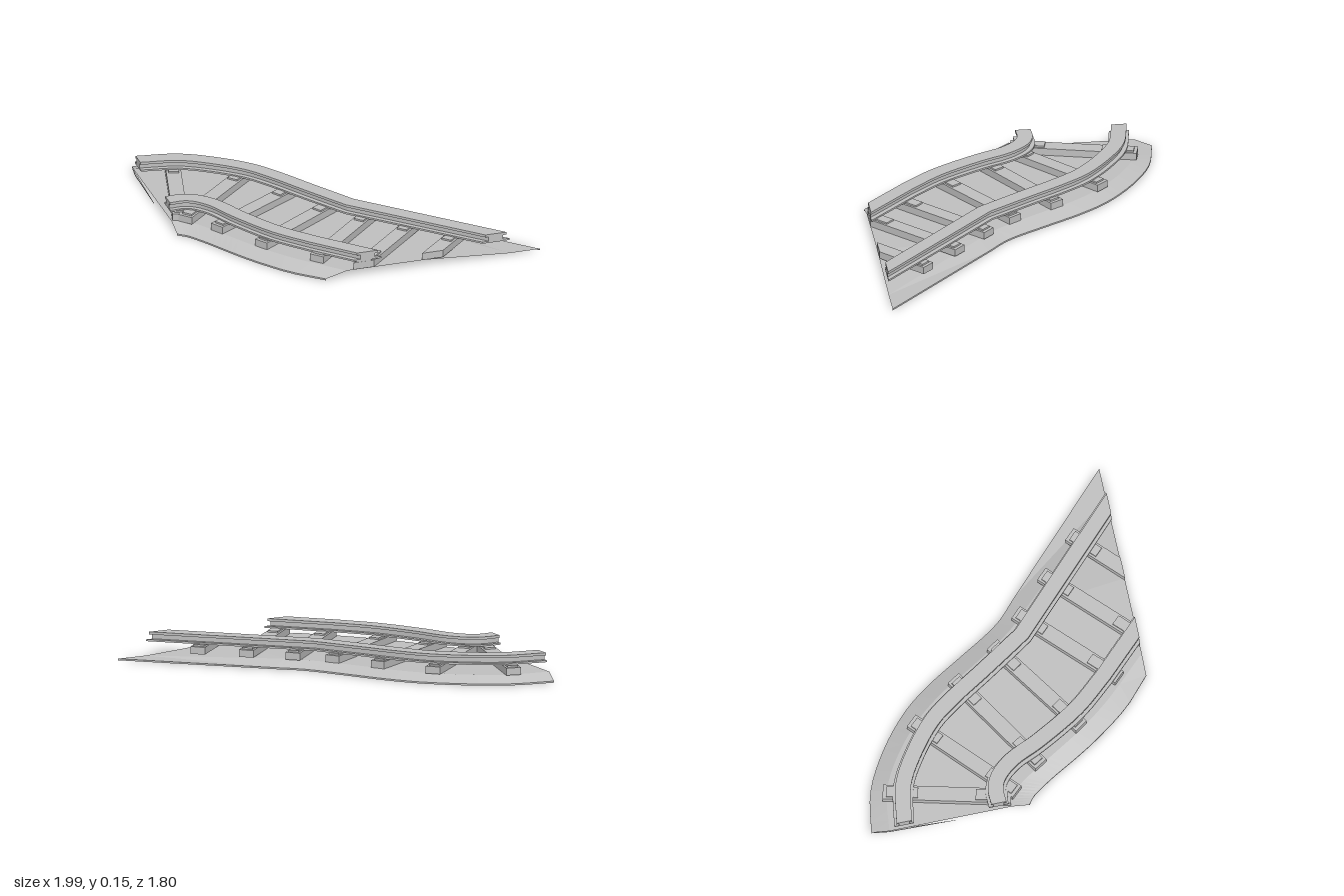
import * as THREE from 'three';

const CUT = 0.9; // front end of the track piece

// Smooth curve through the plan points [x, z], then one straight run to the last point
function trace(points, steps = 4) {
  const bend = points.slice(0, -1).map(([x, z]) => new THREE.Vector3(x, 0, z));
  const curve = new THREE.CatmullRomCurve3(bend);
  const n = (bend.length - 1) * steps;
  const out = [];
  for (let i = 0; i <= n; i++) {
    const p = curve.getPoint(i / n);
    out.push([p.x, p.z]);
  }
  out.push(points[points.length - 1]);
  return out;
}

// Surface through rows of [x, y, z] points; closed rings also get end caps
function loft(rows, closed) {
  const pos = [];
  const quad = (a, b, c, d) => pos.push(...a, ...d, ...b, ...b, ...d, ...c);
  const m = rows[0].length;
  for (let i = 0; i < rows.length - 1; i++) {
    for (let j = 0; j < (closed ? m : m - 1); j++) {
      const k = (j + 1) % m;
      quad(rows[i][j], rows[i][k], rows[i + 1][k], rows[i + 1][j]);
    }
  }
  if (closed) {
    const [a, b, c, d] = rows[0];
    quad(a, d, c, b);
    const [e, f, g, h] = rows[rows.length - 1];
    quad(e, f, g, h);
  }
  const geo = new THREE.BufferGeometry();
  geo.setAttribute('position', new THREE.Float32BufferAttribute(pos, 3));
  geo.computeVertexNormals();
  return geo;
}

// Rectangular bar swept along a plan path, cut square to the piece's two ends
function bar(path, half, y0, y1) {
  const last = path.length - 1;
  return loft(path.map(([x, z], i) => {
    const a = path[Math.max(i - 1, 0)], b = path[Math.min(i + 1, last)];
    const tx = b[0] - a[0], tz = b[1] - a[1], len = Math.hypot(tx, tz);
    let sx = tz / len * half, sz = -tx / len * half;
    if (i === 0) [sx, sz] = [0, -half];
    if (i === last) [sx, sz] = [half * Math.SQRT2, 0];
    return [[x - sx, y1, z - sz], [x + sx, y1, z + sz], [x + sx, y0, z + sz], [x - sx, y0, z - sz]];
  }), true);
}

// Upright prism over a plan polygon
function prism(points, y0, y1) {
  const shape = new THREE.Shape(points.map(([x, z]) => new THREE.Vector2(x, -z)));
  const geo = new THREE.ExtrudeGeometry(shape, { depth: y1 - y0, bevelEnabled: false });
  geo.rotateX(-Math.PI / 2);
  geo.translate(0, y0, 0);
  return geo;
}

// Straight timber between distances s0 and s1 along a line, trimmed at the front cut
function timber(from, to, s0, s1, half, y0, y1) {
  const len = Math.hypot(to[0] - from[0], to[1] - from[1]);
  const dx = (to[0] - from[0]) / len, dz = (to[1] - from[1]) / len;
  const corners = [];
  for (const side of [-1, 1]) {
    const x = from[0] - dz * half * side, z = from[1] + dx * half * side;
    const end = Math.min(s1, (CUT - z) / dz);
    if (end <= s0) return null;
    const pair = [s0, end].map((s) => [Math.max(x + dx * s, -1), z + dz * s]);
    corners.push(...(side < 0 ? pair : pair.reverse()));
  }
  return prism(corners, y0, y1);
}

export function createModel() {
  const model = new THREE.Group();
  const grey = new THREE.MeshStandardMaterial({ color: 0xc0c0c0, side: THREE.DoubleSide });
  grey.name = 'plain grey';
  const add = (name, geo, parent = model) => {
    if (!geo) return;
    const mesh = new THREE.Mesh(geo, grey);
    mesh.name = name;
    parent.add(mesh);
  };

  // Ballast bed: open sheet with sloping shoulders and a low rim
  const innerFoot = trace([[-1, .05], [-.95, .09], [-.9, .16], [-.85, .24], [-.77, .38], [-.69, .51], [-.56, .69], [-.49, .77], [-.345, CUT]]);
  const innerTop = trace([[-1, -.06], [-.93, -.03], [-.86, .04], [-.79, .15], [-.7, .3], [-.6, .46], [-.47, .63], [-.38, .73], [-.215, CUT]]);
  const outerTop = trace([[-1, -.8], [-.745, -.76], [-.535, -.645], [-.34, -.475], [-.21, -.31], [-.085, -.1], [.09, .165], [.2, .28], [.8, CUT]]);
  const outerFoot = trace([[-.975, -.905], [-.72, -.855], [-.48, -.725], [-.265, -.545], [-.13, -.37], [0, -.155], [.16, .1], [.3, .235], [.99, CUT]]);
  const top = 0.045, rim = 0.01;
  const rows = outerTop.map((o, i) => {
    const end = i === outerTop.length - 1;
    const mid = end ? [.27, CUT] : o; // the straight shoulder sags towards the front corner
    const at = ([x, z], y) => [x, y, z];
    return [at(innerFoot[i], 0), at(innerFoot[i], rim), at(innerTop[i], top), at(mid, top),
      at(o, end ? rim : top), at(outerFoot[i], rim), at(outerFoot[i], 0)];
  });
  add('ballastBed', loft(rows, false));
  add('ballastEndEdge', prism([[-.975, -.905], [-.98, -.8], [-1, -.4], [-.99, -.8]], 0, 0.006));

  // Two rails: foot, web and head
  const rails = {
    outerRail: [[-1, -.71], [-.765, -.665], [-.595, -.57], [-.405, -.415], [-.285, -.255], [-.16, -.055], [.02, .225], [.715, CUT]],
    innerRail: [[-1, -.135], [-.905, -.135], [-.83, -.1], [-.745, 0], [-.665, .17], [-.505, .445], [-.34, .64], [-.085, CUT]],
  };
  for (const [name, points] of Object.entries(rails)) {
    const rail = new THREE.Group();
    rail.name = name;
    const path = trace(points);
    add('railFoot', bar(path, .06, .097, .108), rail);
    add('railWeb', bar(path, .032, .108, .136), rail);
    add('railHead', bar(path, .046, .136, .152), rail);
    model.add(rail);
  }

  // Sleepers, from outer end to inner end, each with a chair under both rails
  const sleepers = [
    [[-.765, -.79], [-.95, -.05]], [[-.36, -.53], [-.93, -.01]], [[-.15, -.23], [-.79, .165]],
    [[.01, .04], [-.605, .45]], [[.18, .22], [-.35, .735]], [[.385, .42], [-.145, .935]], [[.595, .635], [.06, 1.15]],
  ];
  for (const [from, to] of sleepers) {
    const sleeper = new THREE.Group();
    sleeper.name = 'sleeper';
    const len = Math.hypot(to[0] - from[0], to[1] - from[1]);
    add('sleeperBeam', timber(from, to, 0, len, .045, top + .001, .09), sleeper);
    add('outerChair', timber(from, to, .02, .21, .032, .09, .1), sleeper);
    add('innerChair', timber(from, to, len - .21, len - .02, .032, .09, .1), sleeper);
    model.add(sleeper);
  }
  return model;
}
